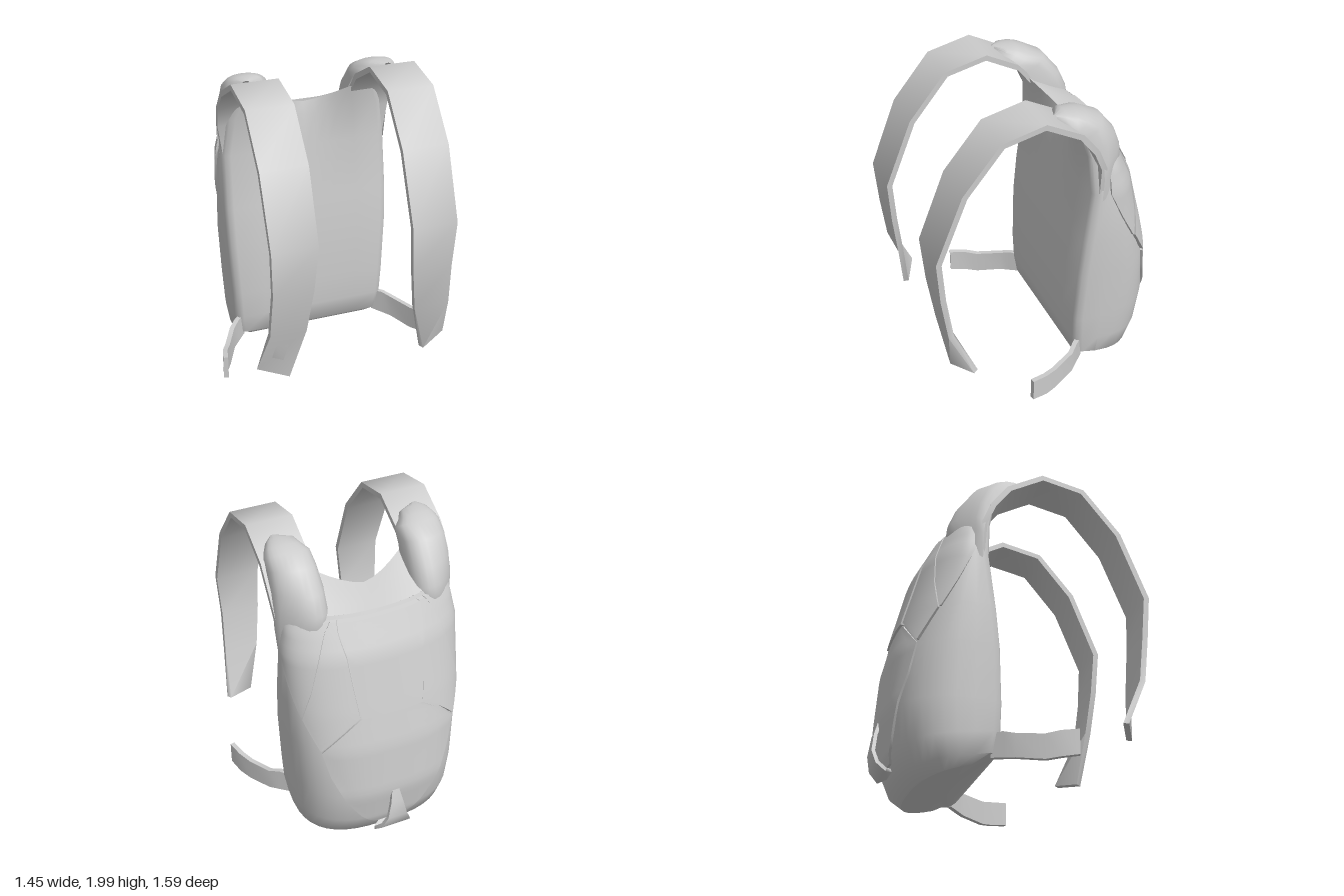
import * as THREE from 'three';
import { toCreasedNormals, mergeVertices } from 'three/addons/utils/BufferGeometryUtils.js';

const V = (x, y, z) => new THREE.Vector3(x, y, z);
const material = new THREE.MeshStandardMaterial({ color: 0xcccccc, side: THREE.DoubleSide });

// Skin a list of cross-sections; faces are turned to point away from `centre`.
// `caps` lists the rows that get an end cap.
function skin(name, rows, { closed = true, caps = [0, rows.length - 1], centre = V(0, 0, 0), crease = 0.8 } = {}) {
  const n = rows[0].length, pos = [], idx = [];
  rows.forEach(r => r.forEach(p => pos.push(p.x, p.y, p.z)));
  for (let i = 0; i < rows.length - 1; i++)
    for (let j = 0; j < (closed ? n : n - 1); j++) {
      const a = i * n + j, b = i * n + (j + 1) % n;
      idx.push(a, b, a + n, b, b + n, a + n);
    }
  if (closed)
    caps.forEach(i => {
      const c = rows[i].reduce((s, p) => s.add(p), V(0, 0, 0)).divideScalar(n);
      const k = pos.length / 3;
      pos.push(c.x, c.y, c.z);
      for (let j = 0; j < n; j++) {
        const a = i * n + j, b = i * n + (j + 1) % n;
        i ? idx.push(a, b, k) : idx.push(b, a, k);
      }
    });
  const at = i => V(pos[i * 3], pos[i * 3 + 1], pos[i * 3 + 2]).sub(centre);
  let volume = 0;
  for (let i = 0; i < idx.length; i += 3)
    volume += at(idx[i]).dot(at(idx[i + 1]).cross(at(idx[i + 2])));
  if (volume < 0) idx.reverse();
  let g = new THREE.BufferGeometry();
  g.setAttribute('position', new THREE.Float32BufferAttribute(pos, 3));
  g.setIndex(idx);
  g = toCreasedNormals(mergeVertices(g, 1e-4), crease);
  const mesh = new THREE.Mesh(g, material);
  mesh.name = name;
  return mesh;
}

// Flat band of given thickness between two edge lines
function ribbon(name, edges, thick) {
  const mid = edges.map(([a, b]) => a.clone().add(b).multiplyScalar(0.5));
  return skin(name, edges.map(([a, b], i) => {
    const t = mid[Math.min(i + 1, mid.length - 1)].clone().sub(mid[Math.max(i - 1, 0)]);
    const n = t.cross(b.clone().sub(a)).normalize().multiplyScalar(thick / 2);
    return [a.clone().add(n), b.clone().add(n), b.clone().sub(n), a.clone().sub(n)];
  }), { crease: 1.2 });
}

// Bag levels: front y, back y, front z, back z, half width, rim lift, roundness
const levels = [
  [0.105, 0.01, -0.19, -0.56, 0.45, 0, 0.75],
  [0.145, 0.07, -0.145, -0.64, 0.50, 0, 0.75],
  [0.27, 0.21, -0.13, -0.70, 0.52, 0, 0.75],
  [0.45, 0.45, -0.125, -0.74, 0.53, 0, 0.75],
  [0.80, 0.80, -0.14, -0.71, 0.55, 0, 0.75],
  [1.05, 1.05, -0.165, -0.65, 0.555, 0, 0.78],
  [1.40, 1.40, -0.21, -0.56, 0.55, 0, 0.86],
  [1.60, 1.54, -0.235, -0.49, 0.515, 0.04, 0.92],
  [1.68, 1.62, -0.26, -0.45, 0.46, 0.1, 0.95],
];
const frontSteps = [0.99, 0.96, 0.9, 0.6, 0.42, 0.28, 0.14, 0, -0.14, -0.28, -0.42, -0.6, -0.9, -0.96, -0.99];

// Level values at back height y
function levelAt(y) {
  let i = 0;
  while (i < levels.length - 2 && levels[i + 1][1] < y) i++;
  const a = levels[i], b = levels[i + 1];
  const t = THREE.MathUtils.clamp((y - a[1]) / (b[1] - a[1]), 0, 1);
  return a.map((v, k) => v + (b[k] - v) * t);
}

// Point on the rounded back; b is the angle from the centre line
function backPoint([yf, yb, zf, zb, w, , round], b, off = 0) {
  const zs = zf + (zb - zf) * 0.28, c = Math.pow(Math.max(Math.cos(b), 0), round);
  const x = Math.sign(b) * Math.pow(Math.abs(Math.sin(b)), round) * (w + off);
  const z = zs + (zb - off - zs) * c;
  return V(x, yf + (yb - yf) * (z - zf) / (zb - zf), z);
}

// Point on the front panel at fraction f of the half width
function frontPoint([yf, , zf, , w, lift], f) {
  const edge = { 0.99: 0.05, 0.96: 0.015 }[Math.abs(f)] || 0;
  const k = Math.min(1, Math.pow(Math.abs(f) * w / 0.28, 1.5)) * lift;
  return V(f * w, yf + k, zf - edge + k);
}

const bagRing = L => [
  ...Array.from({ length: 21 }, (_, i) => backPoint(L, (i / 20 - 0.5) * Math.PI)),
  ...frontSteps.map(f => frontPoint(L, f)),
];

// Lid rows run from the front rim to the rounded back rim
function lidRows(L) {
  return [0, 0.25, 0.5, 0.75, 1].map(t => frontSteps.map(f => {
    const back = backPoint(L, Math.sign(f) * Math.asin(Math.pow(Math.abs(f), 1 / L[6])));
    return frontPoint(L, f).lerp(back, t);
  }));
}

// Raised shell plate: rows of [inner angle, inner y, outer angle, outer y]
function plate(name, rows, s = 1, off = 0.018) {
  const R = 4, C = 10, last = rows.length - 1;
  const point = (r, u, o) => {
    const y = r[1] + (r[3] - r[1]) * u;
    return backPoint(levelAt(y), s * (r[0] + (r[2] - r[0]) * u), o);
  };
  // The first and last point of each line sink into the bag
  const line = (r, o) => Array.from({ length: C + 3 }, (_, j) =>
    point(r, THREE.MathUtils.clamp((j - 1) / C, 0, 1), j === 0 || j === C + 2 ? -0.01 : o));
  const grid = [line(rows[0], -0.01)];
  for (let i = 0; i <= last * R; i++) {
    const p = rows[Math.floor(i / R)], q = rows[Math.min(Math.floor(i / R) + 1, last)];
    grid.push(line(p.map((v, m) => v + (q[m] - v) * (i % R) / R), off));
  }
  grid.push(line(rows[last], -0.01));
  return skin(name, grid, { closed: false, centre: V(0, 0.9, -0.3), crease: 0.7 });
}

// Shoulder strap: z, y, inner x, outer x
const strapPath = [
  [-0.265, 1.36, 0.3, 0.53], [-0.255, 1.6, 0.285, 0.565], [-0.2, 1.73, 0.285, 0.575],
  [-0.1, 1.86, 0.285, 0.575], [0.12, 1.98, 0.285, 0.575], [0.38, 1.925, 0.285, 0.575],
  [0.61, 1.65, 0.285, 0.575], [0.78, 1.23, 0.29, 0.572], [0.76, 0.95, 0.31, 0.56],
  [0.725, 0.67, 0.345, 0.57],
];
// Shoulder guard: ridge z, ridge y, base z, base y, inner x, outer x, outer sweep
const guardPath = [
  [-0.40, 1.4, -0.26, 1.36, 0.3, 0.55, 0.06], [-0.47, 1.57, -0.26, 1.52, 0.27, 0.565, 0.16],
  [-0.46, 1.65, -0.25, 1.61, 0.262, 0.565, 0.14], [-0.41, 1.76, -0.2, 1.73, 0.265, 0.56, 0.1],
  [-0.3, 1.89, -0.14, 1.83, 0.275, 0.555, 0.04], [-0.18, 1.945, -0.09, 1.885, 0.28, 0.55, 0],
  [-0.12, 1.965, -0.06, 1.91, 0.315, 0.535, 0], [-0.05, 1.975, -0.02, 1.935, 0.34, 0.51, 0],
  [0.01, 1.965, 0.01, 1.95, 0.43, 0.47, 0],
];
// Waist belt: x, z, bottom y, top y
const beltPath = [
  [0.47, -0.18, 0.12, 0.265], [0.52, -0.125, 0.11, 0.268], [0.57, -0.07, 0.1, 0.245],
  [0.645, 0.08, 0.08, 0.23], [0.685, 0.16, 0.09, 0.245], [0.71, 0.26, 0.105, 0.255],
];
// Tail: z, y, half width
const tailPath = [
  [-0.735, 0.46, 0.02], [-0.765, 0.36, 0.04], [-0.78, 0.25, 0.065],
  [-0.76, 0.17, 0.1], [-0.71, 0.12, 0.12], [-0.67, 0.135, 0.07],
];

export function createModel() {
  const model = new THREE.Group();
  model.name = 'backpack';
  const bagCentre = V(0, 0.9, -0.4);
  model.add(skin('bag', levels.map(bagRing), { caps: [0], centre: bagCentre }));
  model.add(skin('lid', lidRows(levels[levels.length - 1]), { closed: false, centre: bagCentre }));

  // Shell plates on the back
  model.add(plate('centrePlate', [
    [-0.53, 1.6, 0.53, 1.6], [-0.37, 1.4, 0.37, 1.4], [-0.31, 1.2, 0.31, 1.2], [-0.25, 1.02, 0.25, 1.02],
  ], 1, 0.028));
  model.add(plate('lowerPlate', [
    [-0.26, 1.01, 0.26, 1.01], [-0.79, 0.8, 0.79, 0.8], [-0.69, 0.62, 0.69, 0.62],
    [-0.5, 0.42, 0.5, 0.42], [-0.28, 0.25, 0.28, 0.25], [-0.12, 0.16, 0.12, 0.16],
  ], 1, 0.015));

  for (const s of [1, -1]) {
    const side = s > 0 ? 'left' : 'right';
    model.add(plate(side + 'SidePlate', [
      [0.54, 1.6, 0.64, 1.6], [0.385, 1.4, 0.73, 1.4], [0.325, 1.2, 0.86, 1.2],
      [0.27, 1.03, 1.05, 1.01], [0.78, 0.82, 0.8, 0.82],
    ], s, 0.02));
    model.add(plate(side + 'OuterPlate', [
      [0.65, 1.6, 1.56, 1.58], [0.74, 1.4, 1.56, 1.4], [0.87, 1.2, 1.32, 1.2], [1.06, 1.02, 1.09, 1.02],
    ], s, 0.014));

    // Strap ends in a twisted, slanted tip
    const strap = strapPath.map(([z, y, a, b]) => [V(s * a, y, z), V(s * b, y, z)]);
    strap.push([V(s * 0.43, 0.335, 0.68), V(s * 0.605, 0.37, 0.59)]);
    model.add(ribbon(side + 'ShoulderStrap', strap, 0.035));

    // Hollow arched guard over the strap root
    model.add(skin(side + 'ShoulderGuard', guardPath.map(([rz, ry, bz, by, a, b, sweep]) =>
      Array.from({ length: 13 }, (_, j) => {
        const t = (1 - Math.cos(j / 12 * Math.PI)) / 2, h = Math.pow(Math.sin(j / 12 * Math.PI), 0.6);
        return V(s * (a + (b - a) * t), by + (ry - by) * h, bz + (rz + sweep * t * t - bz) * h);
      })), { closed: false, centre: V(s * 0.42, 1.6, -0.2), crease: 0.9 }));

    model.add(ribbon(side + 'WaistBelt',
      beltPath.map(([x, z, lo, hi]) => [V(s * x, lo, z), V(s * x, hi, z)]), 0.03));
  }
  model.add(ribbon('tail', tailPath.map(([z, y, w]) => [V(-w, y, z), V(w, y, z)]), 0.022));
  return model;
}
